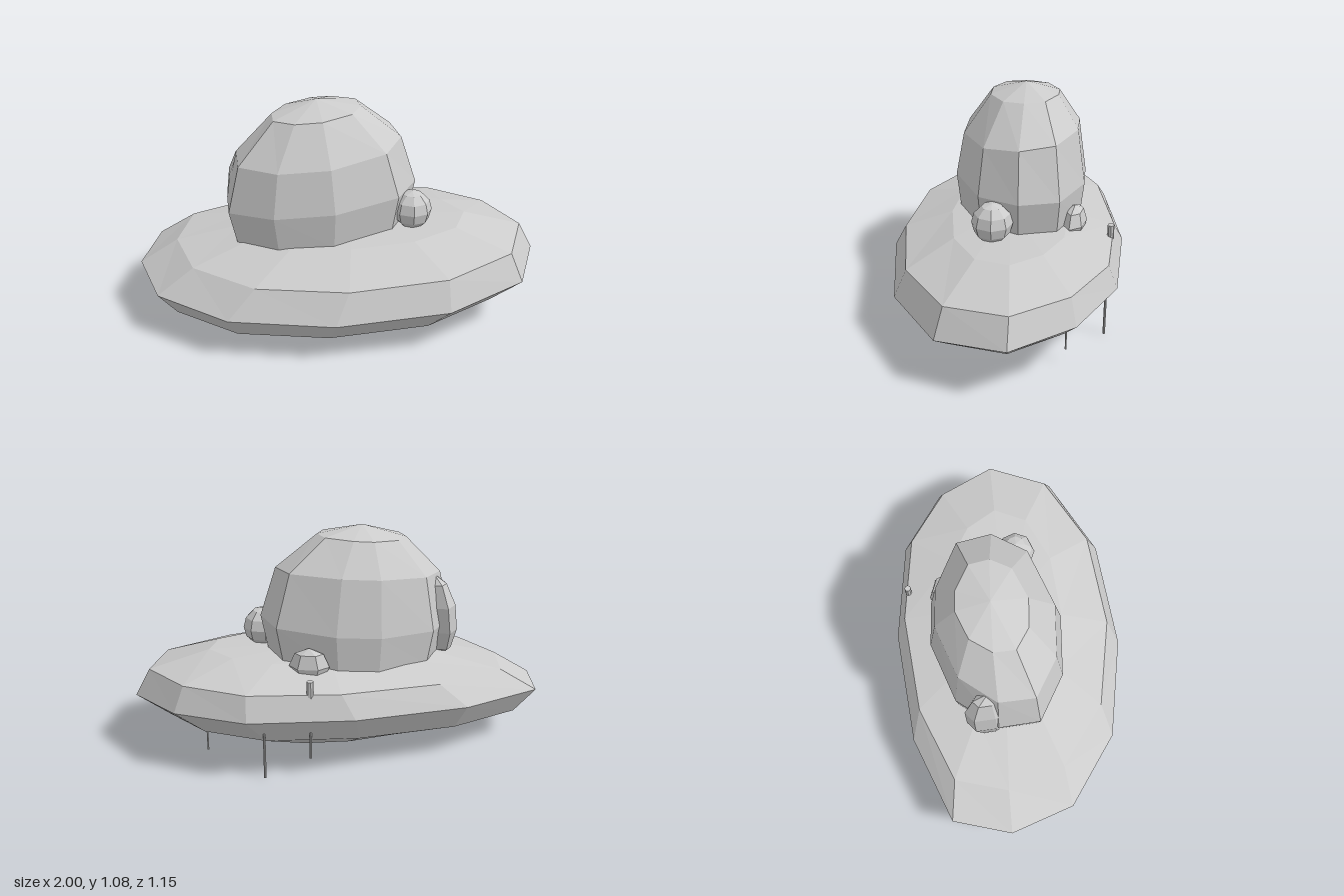
import * as THREE from 'three';

const grey = new THREE.MeshStandardMaterial({ color: 0xcccccc, flatShading: true });
grey.name = 'plain grey';

// Plan outlines [x, z], clockwise seen from above
const brimPlan = [[-1, -.04], [-.93, -.33], [-.52, -.51], [.03, -.58], [.52, -.53], [.83, -.34],
  [1, -.05], [.89, .27], [.51, .5], [-.03, .575], [-.53, .5], [-.88, .27]];
const domePlan = [[.47, 0], [.37, .19], [.06, .32], [-.23, .31], [-.45, .19],
  [-.47, -.01], [-.33, -.21], [-.05, -.32], [.16, -.31], [.42, -.19]];

// Stacks scaled copies of an outline, each ring [cx, y, cz, scaleX, scaleZ, slopeX, slopeZ], bottom to top
function loft(plan, rings) {
  const n = plan.length, pos = [];
  const at = (r, i) => {
    const [cx, y, cz, sx, sz, kx, kz] = rings[r];
    const dx = plan[i % n][0] * sx, dz = plan[i % n][1] * sz;
    return [cx + dx, y + dx * kx + dz * kz, cz + dz];
  };
  for (let r = 0; r < rings.length - 1; r++) {
    for (let i = 0; i < n; i++) {
      const a = at(r, i), b = at(r, i + 1), c = at(r + 1, i + 1), d = at(r + 1, i);
      if (rings[r + 1][3] > 0) pos.push(...a, ...d, ...c);
      else pos.push(...a, ...d, ...b);
      if (rings[r][3] > 0 && rings[r + 1][3] > 0) pos.push(...a, ...c, ...b);
    }
  }
  const g = new THREE.BufferGeometry();
  g.setAttribute('position', new THREE.Float32BufferAttribute(pos, 3));
  g.computeVertexNormals();
  return g;
}

export function createModel() {
  const model = new THREE.Group();
  const add = (name, geometry, x = 0, y = 0, z = 0) => {
    const m = new THREE.Mesh(geometry, grey);
    m.name = name;
    m.position.set(x, y, z);
    model.add(m);
    return m;
  };

  // Tilted saucer-shaped brim
  add('brim', loft(brimPlan, [
    [0, .003, 0, 0, 0, 0, 0],
    [-.01, .035, -.02, .43, .5, 0, -.07],
    [-.03, .13, 0, .87, .86, .023, -.07],
    [0, .25, 0, 1, 1, .02, -.08],
    [.06, .377, -.01, .87, .9, .029, -.06],
    [.07, .455, -.02, .57, .5, .045, -.04],
    [.07, .48, -.02, 0, 0, 0, 0],
  ]));

  // Leaning dome crown
  add('dome', loft(domePlan, [
    [-.08, .28, -.07, .7, .7, .08, 0],
    [-.08, .43, -.07, .92, .94, .06, 0],
    [-.08, .61, -.07, 1, 1, .08, 0],
    [-.09, .85, -.07, .86, .88, .08, -.1],
    [-.1, 1.022, -.085, .46, .52, .08, -.05],
    [-.1, 1.076, -.09, 0, 0, 0, 0],
  ]));

  // Small ball at the front left
  add('ball', new THREE.SphereGeometry(.097, 8, 6), .365, .548, .05);

  // Tall faceted bump on the right side
  const bump = add('sideBump', new THREE.SphereGeometry(1, 7, 5), -.475, .61, -.115);
  bump.scale.set(.075, .21, .13);
  bump.rotation.set(0, .35, -.12);

  // Low wedge-like bump behind the dome
  const wedge = add('rearBump', new THREE.SphereGeometry(1, 6, 4), .2, .475, -.335);
  wedge.scale.set(.095, .09, .055);
  wedge.rotation.y = -.3;

  // Thin pins through the rear of the brim: [x, z, bottom, top, radius]
  for (const [x, z, y0, y1, r] of [
    [.225, -.508, .38, .475, .016],
    [.225, -.506, .09, .4, .006],
    [.435, -.485, 0, .26, .006],
    [.68, -.3, .075, .18, .004],
  ]) add('pin', new THREE.CylinderGeometry(r, r, y1 - y0, 8), x, (y0 + y1) / 2, z);

  return model;
}
